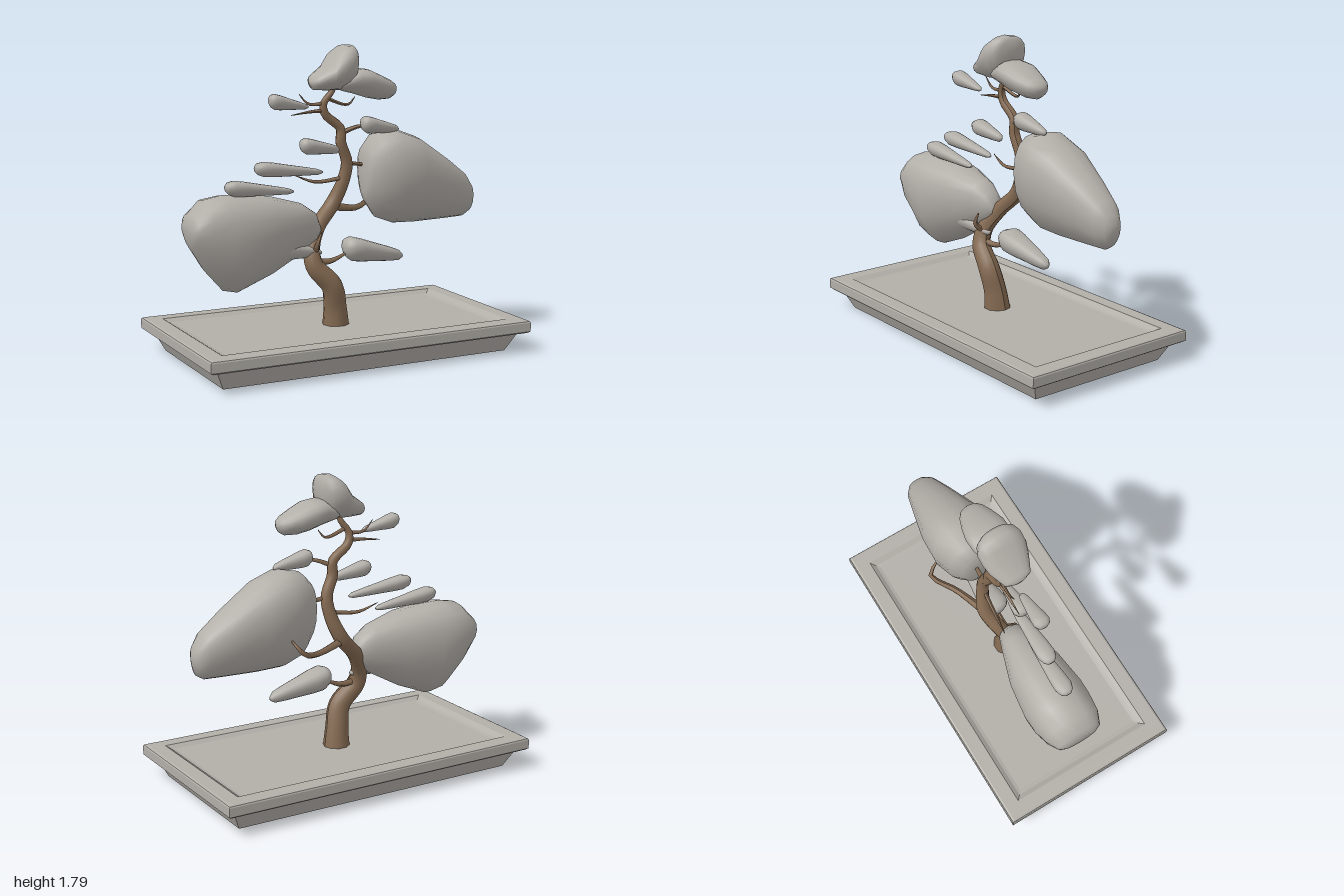
import * as THREE from 'three';

const stone = new THREE.MeshStandardMaterial({ color: 0xb2aea8 });
stone.name = 'stone grey';
const bark = new THREE.MeshStandardMaterial({ color: 0x846a52 });
bark.name = 'bark brown';

// Skin a list of closed rings and cap both ends
function loft(rings) {
  const n = rings[0].length, pos = [], idx = [];
  for (const ring of rings) for (const p of ring) pos.push(...p);
  for (let i = 0; i < rings.length - 1; i++) {
    for (let j = 0; j < n; j++) {
      const k = (j + 1) % n;
      const a = i * n + j, b = (i + 1) * n + j, c = (i + 1) * n + k, d = i * n + k;
      idx.push(a, b, c, a, c, d);
    }
  }
  const last = (rings.length - 1) * n, c0 = pos.length / 3;
  for (const ring of [rings[0], rings[rings.length - 1]]) {
    for (let q = 0; q < 3; q++) pos.push(ring.reduce((s, p) => s + p[q], 0) / n);
  }
  for (let j = 0; j < n; j++) {
    const k = (j + 1) % n;
    idx.push(c0, j, k, c0 + 1, last + k, last + j);
  }
  const g = new THREE.BufferGeometry();
  g.setAttribute('position', new THREE.Float32BufferAttribute(pos, 3));
  g.setIndex(idx);
  g.computeVertexNormals();
  return g;
}

// Foliage cross-section: broad shoulders above, tapering to a keel below
function foliageRing([x, y0, y1, hz], zc, sides = 16) {
  const mid = y0 + (y1 - y0) * 0.58;
  return Array.from({ length: sides }, (_, j) => {
    const a = (j / sides) * Math.PI * 2, c = Math.cos(a), s = Math.sin(a);
    const up = s > 0;
    const z = Math.sign(c) * Math.pow(Math.abs(c), up ? 0.85 : 1.25) * hz;
    const y = up ? mid + (y1 - mid) * Math.pow(s, 0.85) : mid + (mid - y0) * s;
    return [x, y, zc + z];
  });
}

// Sections are [x, bottom, top, half depth], ordered by x
function foliage(name, sections, zc = 0) {
  const mesh = new THREE.Mesh(loft(sections.map((s) => foliageRing(s, zc))), stone);
  mesh.name = name;
  return mesh;
}

// Small teardrop pad from a fat end to a thin tip
function pad(name, [fx, fb, ft, tx, tb, tt, hz]) {
  const shape = [[0, 0.35], [0.04, 0.68], [0.13, 0.95], [0.28, 1], [0.5, 0.97], [0.75, 0.95], [0.93, 0.85], [1, 0.35]];
  const sections = shape.map(([t, k]) => {
    const mix = THREE.MathUtils.lerp;
    const b = mix(fb, tb, t), top = mix(ft, tt, t), m = (b + top) / 2, h = ((top - b) / 2) * k;
    return [mix(fx, tx, t), m - h, m + h, hz * k * (1 - 0.6 * t)];
  });
  return foliage(name, sections.sort((a, b) => a[0] - b[0]));
}

// Tapered limb through points [x, y, z, radius]
function limb(name, pts, segments, sides) {
  const curve = new THREE.CatmullRomCurve3(pts.map((p) => new THREE.Vector3(p[0], p[1], p[2])));
  const g = new THREE.TubeGeometry(curve, segments, 1, sides, false);
  const pos = g.attributes.position, v = new THREE.Vector3();
  for (let i = 0; i <= segments; i++) {
    const centre = curve.getPointAt(i / segments);
    const f = curve.getUtoTmapping(i / segments) * (pts.length - 1);
    const k = Math.min(Math.floor(f), pts.length - 2);
    const r = THREE.MathUtils.lerp(pts[k][3], pts[k + 1][3], f - k);
    for (let j = 0; j <= sides; j++) {
      const q = i * (sides + 1) + j;
      v.fromBufferAttribute(pos, q).sub(centre).multiplyScalar(r).add(centre);
      pos.setXYZ(q, v.x, v.y, v.z);
    }
  }
  g.computeVertexNormals();
  const mesh = new THREE.Mesh(g, bark);
  mesh.name = name;
  return mesh;
}

export function createModel() {
  const model = new THREE.Group();
  model.name = 'bonsaiTree';

  // Tray: sloped body, rounded rim and shallow recess, as [half x, half z, y]
  const trayProfile = [
    [0.89, 0.445, 0], [0.945, 0.5, 0.112], [0.985, 0.54, 0.115], [1, 0.553, 0.125],
    [1, 0.553, 0.177], [0.996, 0.549, 0.185], [0.985, 0.538, 0.19],
    [0.9, 0.455, 0.19], [0.87, 0.428, 0.17], [0.845, 0.408, 0.165],
  ];
  const tray = new THREE.Mesh(
    loft(trayProfile.map(([x, z, y]) => [[x, y, z], [-x, y, z], [-x, y, -z], [x, y, -z]])).toNonIndexed(), stone);
  tray.geometry.computeVertexNormals();
  tray.name = 'tray';
  model.add(tray);

  // Winding trunk
  model.add(limb('trunk', [
    [0, 0.15, 0.01, 0.08], [-0.01, 0.27, 0.02, 0.068], [-0.04, 0.4, 0.04, 0.064], [-0.14, 0.52, 0.02, 0.055],
    [-0.145, 0.61, -0.01, 0.048], [-0.08, 0.73, -0.07, 0.045], [0.035, 0.85, -0.11, 0.044],
    [0.095, 0.98, -0.09, 0.038], [0.112, 1.1, -0.07, 0.034], [0.068, 1.22, -0.06, 0.032],
    [0.066, 1.3, -0.06, 0.028], [-0.035, 1.39, -0.06, 0.025], [-0.045, 1.45, -0.055, 0.021],
    [0, 1.52, -0.04, 0.017], [0.03, 1.6, -0.02, 0.01],
  ], 60, 10));

  // Branches
  const branches = [
    [[0.03, 0.84, -0.11, 0.025], [0.24, 0.81, -0.18, 0.018], [0.385, 0.86, -0.27, 0.014], [0.42, 0.925, -0.2, 0.006]],
    [[0.1, 1.1, -0.07, 0.015], [0.21, 1.083, -0.06, 0.011], [0.4, 1.07, -0.05, 0.004]],
    [[0.1, 1.01, -0.08, 0.013], [-0.08, 0.993, -0.1, 0.01], [-0.2, 1.035, -0.12, 0.002]],
    [[0.06, 1.27, -0.06, 0.017], [0.16, 1.31, -0.03, 0.012], [0.26, 1.32, 0, 0.004]],
    [[-0.03, 1.41, -0.06, 0.014], [-0.13, 1.405, -0.06, 0.009], [-0.25, 1.39, -0.06, 0.002]],
    [[-0.04, 1.45, -0.055, 0.012], [-0.14, 1.452, -0.06, 0.008], [-0.2, 1.51, -0.06, 0.002]],
    [[-0.03, 1.48, -0.05, 0.012], [0.11, 1.44, -0.05, 0.008], [0.15, 1.485, -0.04, 0.002]],
    [[-0.13, 0.54, 0.01, 0.022], [-0.02, 0.54, 0, 0.016], [0.1, 0.59, 0, 0.006]],
    [[-0.13, 0.6, 0.01, 0.018], [-0.145, 0.65, 0.06, 0.014], [-0.115, 0.725, 0.06, 0.004]],
  ];
  branches.forEach((pts, i) => model.add(limb('branch' + (i + 1), pts, 10, 6)));

  // Two large foliage masses
  model.add(foliage('largeFoliageRight', [
    [-0.893, 0.73, 0.82, 0.1], [-0.875, 0.67, 0.87, 0.14], [-0.8, 0.545, 0.945, 0.175], [-0.69, 0.42, 0.965, 0.19],
    [-0.6, 0.4, 0.963, 0.192], [-0.4, 0.48, 0.94, 0.165], [-0.2, 0.59, 0.885, 0.1],
    [-0.12, 0.64, 0.83, 0.07], [-0.085, 0.7, 0.75, 0.03],
  ], -0.04));
  model.add(foliage('largeFoliageLeft', [
    [0.205, 0.92, 1.1, 0.06], [0.22, 0.86, 1.2, 0.105], [0.28, 0.77, 1.265, 0.155], [0.4, 0.725, 1.29, 0.192],
    [0.55, 0.72, 1.235, 0.18], [0.75, 0.725, 1.1, 0.13], [0.88, 0.73, 1.0, 0.095],
    [0.93, 0.76, 0.93, 0.06], [0.945, 0.82, 0.88, 0.025],
  ], -0.04));

  // Crown
  model.add(foliage('crownPeak', [
    [-0.152, 1.56, 1.59, 0.03], [-0.135, 1.535, 1.62, 0.08], [-0.05, 1.53, 1.68, 0.12], [0, 1.53, 1.755, 0.135],
    [0.05, 1.53, 1.788, 0.135], [0.095, 1.56, 1.787, 0.115], [0.115, 1.62, 1.77, 0.075], [0.12, 1.67, 1.72, 0.03],
  ]));
  model.add(foliage('crownSide', [
    [0.01, 1.54, 1.58, 0.06], [0.04, 1.525, 1.61, 0.09], [0.12, 1.505, 1.655, 0.12], [0.2, 1.48, 1.645, 0.12],
    [0.28, 1.465, 1.61, 0.1], [0.345, 1.468, 1.58, 0.075], [0.375, 1.485, 1.56, 0.05], [0.387, 1.51, 1.54, 0.02],
  ]));

  // Small pads: fat end x, bottom, top; tip x, bottom, top; half depth
  const pads = [
    [-0.41, 1.43, 1.535, -0.17, 1.425, 1.455, 0.055],
    [-0.217, 1.17, 1.275, 0.025, 1.16, 1.21, 0.06],
    [-0.5, 1.055, 1.155, -0.08, 1.045, 1.08, 0.06],
    [-0.68, 0.955, 1.06, -0.265, 0.945, 0.98, 0.06],
    [-0.445, 0.565, 0.72, -0.09, 0.57, 0.62, 0.085],
    [0.06, 0.525, 0.69, 0.445, 0.495, 0.565, 0.095],
    [0.175, 1.27, 1.385, 0.415, 1.265, 1.31, 0.062],
  ];
  pads.forEach((p, i) => model.add(pad('foliagePad' + (i + 1), p)));

  return model;
}
